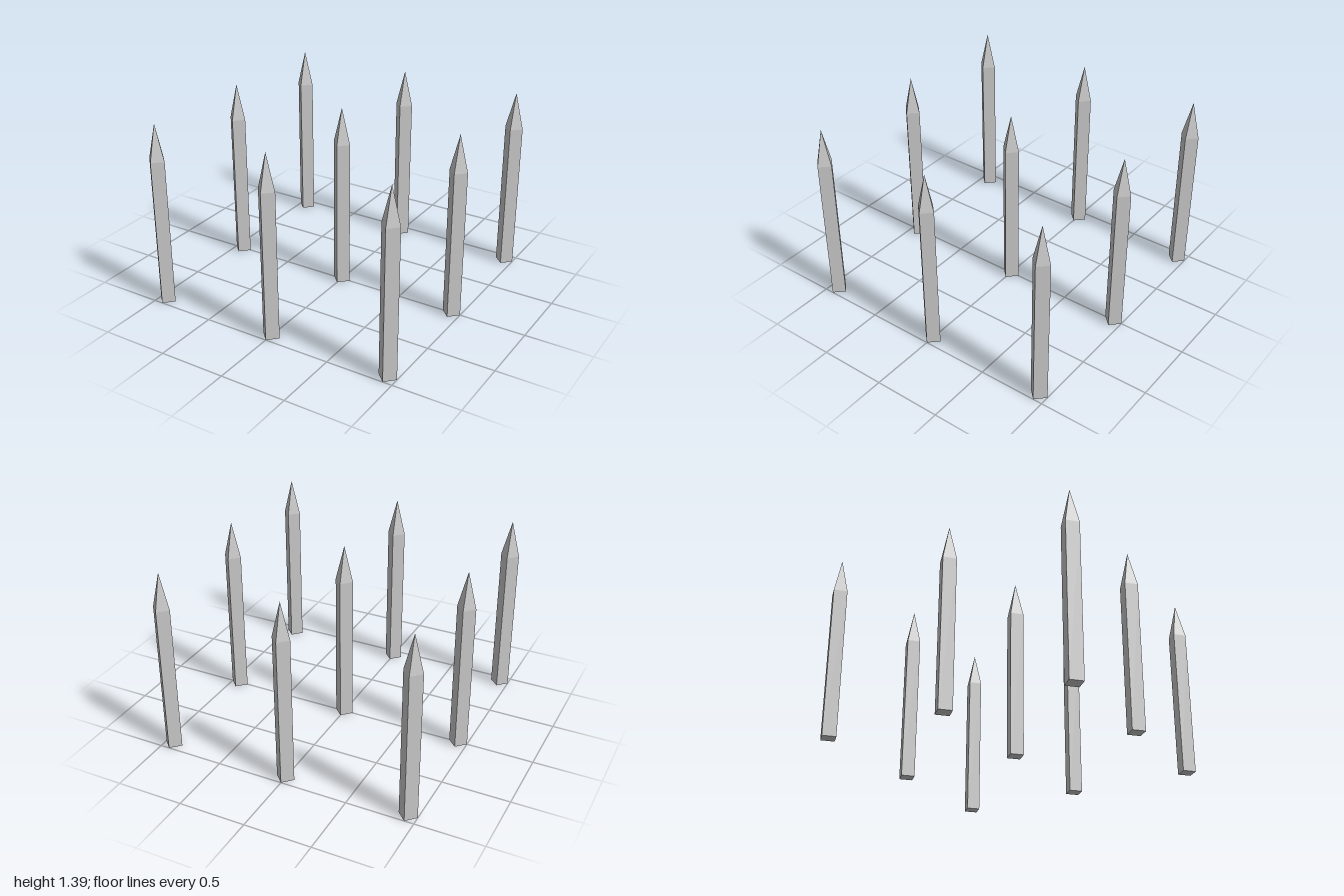
import * as THREE from 'three';

const RADIUS = 0.069;
const SPACING = 1 - RADIUS;
const SHAFT_HEIGHT = 1.12;
const TIP_HEIGHT = 0.27;

export function createModel() {
  const model = new THREE.Group();
  model.name = 'stakeGrid';
  const material = new THREE.MeshStandardMaterial({ color: 0xcccccc, flatShading: true });

  // Four-sided shaft and pyramid tip, with corners pointing along x and z
  const shaftGeometry = new THREE.CylinderGeometry(RADIUS, RADIUS, SHAFT_HEIGHT, 4);
  shaftGeometry.translate(0, SHAFT_HEIGHT / 2, 0);
  const tipGeometry = new THREE.ConeGeometry(RADIUS, TIP_HEIGHT, 4, 1, true);
  tipGeometry.translate(0, SHAFT_HEIGHT + TIP_HEIGHT / 2, 0);

  // Three by three grid of pointed stakes
  for (const row of [-1, 0, 1]) {
    for (const column of [-1, 0, 1]) {
      const stake = new THREE.Group();
      stake.name = 'stake';
      const shaft = new THREE.Mesh(shaftGeometry, material);
      shaft.name = 'shaft';
      const tip = new THREE.Mesh(tipGeometry, material);
      tip.name = 'tip';
      stake.add(shaft, tip);
      stake.position.set(column * SPACING, 0, row * SPACING);
      model.add(stake);
    }
  }
  return model;
}
